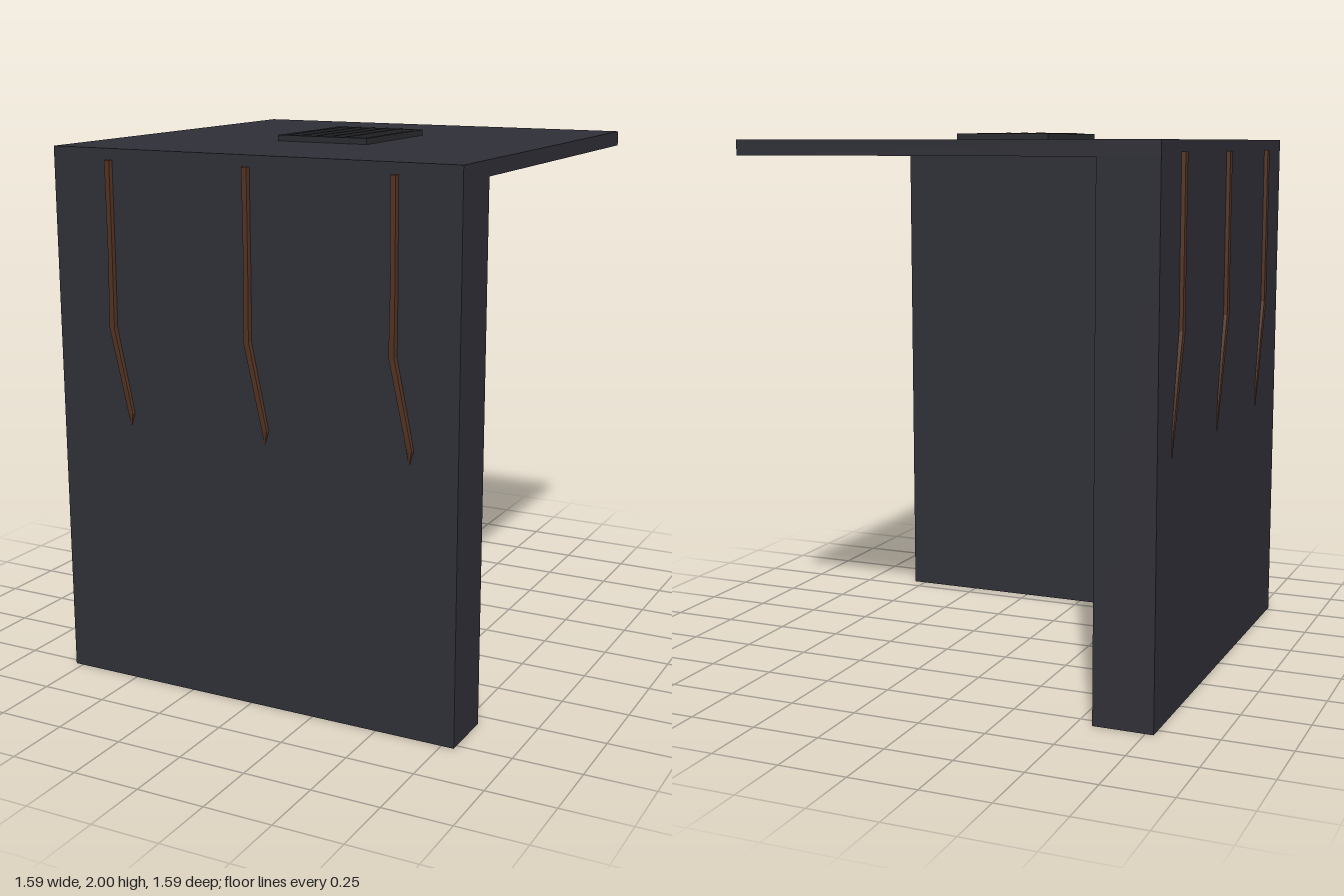
import * as THREE from 'three';

// Loft of a streak lying on a wall: stations [sideways, y, halfWidth, height]
function streakGeometry(stations) {
  const pos = [], index = [];
  for (const [x, y, w, h] of stations) {
    pos.push(-0, 0, 0); pos.length -= 3;
    pos.push(x - w, y, -0.004, x - w * 0.55, y, h, x + w * 0.55, y, h * 0.8, x + w, y, -0.004);
  }
  for (let i = 0; i < stations.length - 1; i++) {
    for (let j = 0; j < 3; j++) {
      const a = i * 4 + j, b = a + 4;
      index.push(a, b, b + 1, a, b + 1, a + 1);
    }
  }
  const last = (stations.length - 1) * 4;
  index.push(0, 1, 2, 0, 2, 3, last, last + 2, last + 1, last, last + 3, last + 2);
  const g = new THREE.BufferGeometry();
  g.setAttribute('position', new THREE.Float32BufferAttribute(pos, 3));
  g.setIndex(index);
  const flat = g.toNonIndexed();
  flat.computeVertexNormals();
  return flat;
}

export function createModel() {
  const model = new THREE.Group();
  model.name = 'cornerShelter';

  const slate = new THREE.MeshStandardMaterial({ color: 0x2f2f37 });
  slate.name = 'slate';
  const iron = new THREE.MeshStandardMaterial({ color: 0x2a2b2f });
  iron.name = 'darkIron';
  const rust = new THREE.MeshStandardMaterial({ color: 0x4e3020, side: THREE.DoubleSide });
  rust.name = 'rust';

  // Box given by its minimum and maximum corners
  const box = (name, material, min, max, parent = model) => {
    const size = max.map((v, i) => v - min[i]);
    const mesh = new THREE.Mesh(new THREE.BoxGeometry(...size), material);
    mesh.position.set(...max.map((v, i) => (v + min[i]) / 2));
    mesh.name = name;
    parent.add(mesh);
    return mesh;
  };

  // Two walls meeting at a corner, and the flat roof over them
  box('frontWall', slate, [-0.78, 0, 0.56], [0.797, 1.92, 0.775]);
  box('sideWall', slate, [-0.78, 0, -0.797], [-0.56, 1.92, 0.56]);
  box('roof', slate, [-0.78, 1.92, -0.797], [0.797, 1.975, 0.775]);

  // Vent grate on the roof
  const grate = new THREE.Group();
  grate.name = 'roofGrate';
  model.add(grate);
  const [x0, x1, z0, z1, t] = [-0.175, 0.19, -0.253, 0.23, 0.02];
  box('grateFrameBack', iron, [x0, 1.975, z0], [x1, 1.997, z0 + t], grate);
  box('grateFrameFront', iron, [x0, 1.975, z1 - t], [x1, 1.997, z1], grate);
  box('grateFrameRight', iron, [x0, 1.975, z0 + t], [x0 + t, 1.997, z1 - t], grate);
  box('grateFrameLeft', iron, [x1 - t, 1.975, z0 + t], [x1, 1.997, z1 - t], grate);
  for (let i = 0; i < 5; i++) {
    const x = -0.131 + i * 0.059;
    box('grateBar', iron, [x - 0.007, 1.982, z0 + 0.01], [x + 0.007, 2, z1 - 0.01], grate);
  }

  // Rust streaks running down from the roof, three on each outer wall
  const front = streakGeometry([
    [0, 1.935, 0.016, 0.015], [0.002, 1.6, 0.014, 0.016], [-0.002, 1.34, 0.017, 0.015],
    [0.063, 1.03, 0.016, 0.009], [0.06, 0.985, 0.004, 0.002],
  ]);
  const side = streakGeometry([
    [0, 1.935, 0.016, 0.016], [0.002, 1.6, 0.014, 0.016], [-0.002, 1.34, 0.017, 0.015],
    [0.063, 1.03, 0.014, 0.007], [0.075, 0.92, 0.004, 0.001],
  ]);
  const addStreak = (name, geometry, x, z, turn) => {
    const mesh = new THREE.Mesh(geometry, rust);
    mesh.position.set(x, 0, z);
    mesh.rotation.y = turn;
    mesh.name = name;
    model.add(mesh);
  };
  for (const p of [-0.545, 0.01, 0.56]) addStreak('frontRustStreak', front, p, 0.775, 0);

  // The side streaks lean toward the back
  const leaning = side.clone().scale(-1, 1, 1);
  leaning.computeVertexNormals();
  const a = leaning.getAttribute('position');
  const v = new THREE.Vector3(), w = new THREE.Vector3();
  for (let i = 0; i < a.count; i += 3) {
    v.fromBufferAttribute(a, i + 1);
    w.fromBufferAttribute(a, i + 2);
    a.setXYZ(i + 1, w.x, w.y, w.z);
    a.setXYZ(i + 2, v.x, v.y, v.z);
  }
  leaning.computeVertexNormals();
  for (const p of [-0.565, -0.015, 0.535]) addStreak('sideRustStreak', leaning, -0.78, p, -Math.PI / 2);

  return model;
}
